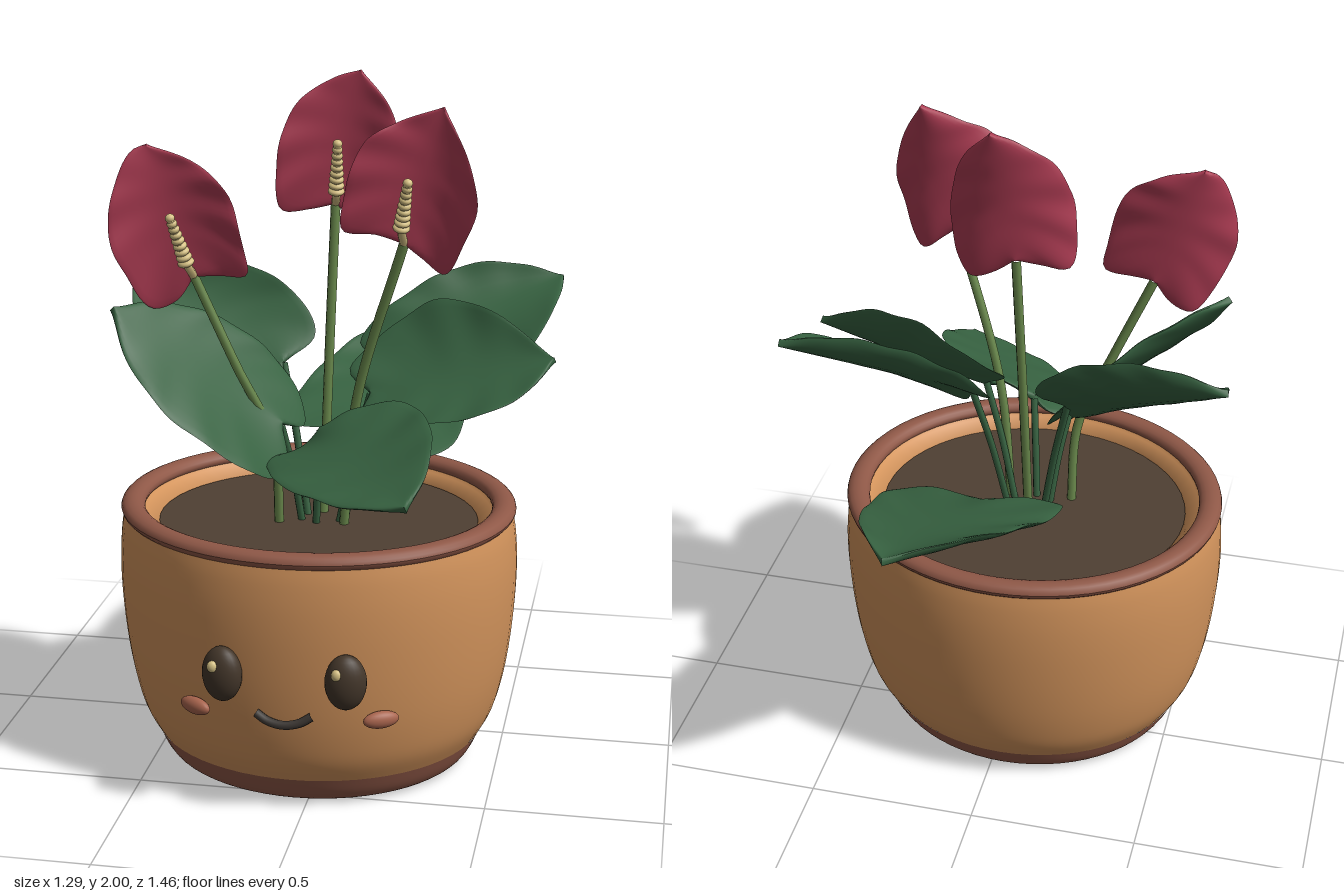
import * as THREE from 'three';

const mat = (name, color, side = THREE.FrontSide) => {
  const m = new THREE.MeshStandardMaterial({ color, side });
  m.name = name;
  return m;
};
const V = (p) => new THREE.Vector3(...p);

export function createModel() {
  const clay = mat('clay', 0xd3945c, THREE.DoubleSide);
  const trim = mat('brown trim', 0x8f5847);
  const soilMat = mat('soil', 0x4f4033);
  const dark = mat('dark eye', 0x43362a);
  const mouthMat = mat('mouth', 0x3b3632);
  const blush = mat('blush', 0xa9654e);
  const cream = mat('cream', 0xd6c184);
  const leafMat = mat('leaf green', 0x376241);
  const stemMat = mat('stem green', 0x68874b);
  const red = mat('red spathe', 0xab3b52);

  const model = new THREE.Group();
  model.name = 'pottedPlant';
  const add = (name, geo, material, parent = model) => {
    const m = new THREE.Mesh(geo, material);
    m.name = name;
    parent.add(m);
    return m;
  };

  // Slightly oval pot: every turned part shares one squashed group
  const CX = -0.04, CZ = 0.147, SQ = 0.914;
  const pot = new THREE.Group();
  pot.name = 'pot';
  pot.position.set(CX, 0, CZ);
  pot.scale.z = SQ;
  model.add(pot);
  const turn = (name, pts, material, smooth = 0) => {
    let p = pts.map(([x, y]) => new THREE.Vector2(x, y));
    if (smooth) p = new THREE.SplineCurve(p).getPoints(smooth);
    return add(name, new THREE.LatheGeometry(p, 64), material, pot);
  };
  turn('potWall', [[0.484, 0.085], [0.515, 0.14], [0.536, 0.2], [0.556, 0.29], [0.571, 0.4],
    [0.58, 0.52], [0.581, 0.62], [0.575, 0.7], [0.566, 0.75]], clay, 32);
  turn('potInside', [[0.52, 0.76], [0.505, 0.74], [0.46, 0.705], [0.45, 0.5], [0.42, 0.09], [0.12, 0.09]], clay);
  turn('potFoot', [[0.12, 0.09], [0.116, 0.06], [0.135, 0.038], [0.17, 0.042], [0.22, 0.055], [0.29, 0.04],
    [0.35, 0.012], [0.4, 0], [0.44, 0.012], [0.464, 0.04], [0.486, 0.087]], trim, 44);
  const rim = [];
  for (let i = 0; i <= 16; i++) {
    const a = (i / 16) * Math.PI * 2;
    rim.push([0.541 + 0.035 * Math.cos(a), 0.761 + 0.024 * Math.sin(a)]);
  }
  turn('potRim', rim, trim);
  const soil = add('soil', new THREE.CircleGeometry(0.466, 48), soilMat, pot);
  soil.rotation.x = -Math.PI / 2;
  soil.position.y = 0.715;

  // Face, mirrored about the middle of the pot
  const ball = new THREE.SphereGeometry(1, 24, 16);
  const blob = (name, material, x, y, z, s, yaw = 0) => {
    const m = add(name, ball, material);
    m.position.set(x, y, z);
    m.scale.set(...s);
    m.rotation.y = yaw;
  };
  for (const [side, s] of [['left', 1], ['right', -1]]) {
    blob(side + 'Eye', dark, CX + s * 0.172, 0.43, 0.665, [0.058, 0.08, 0.041], s * 0.2);
    blob(side + 'EyeGlint', cream, CX + s * 0.172 - 0.02, 0.462, 0.697, [0.015, 0.017, 0.012]);
    blob(side + 'Cheek', blush, CX + s * 0.262, 0.305, 0.616, [0.052, 0.025, 0.02], s * 0.5);
  }
  const smile = new THREE.CatmullRomCurve3(
    [[-0.118, 0.32, 0.664], [-0.085, 0.301, 0.67], [-0.04, 0.293, 0.674], [0.005, 0.301, 0.67], [0.038, 0.32, 0.664]].map(V));
  add('mouth', new THREE.TubeGeometry(smile, 24, 0.013, 8), mouthMat);

  // Heart-shaped blade: two edges run from notch to tip, with a smooth curved section between them
  const blade = (name, material, notch, tip, edgeA, edgeB, thick, wave) => {
    const n = V(notch), t = V(tip);
    const curve = (e) => new THREE.CatmullRomCurve3([n, ...e.map(V), t], false, 'centripetal');
    const A = curve(edgeA).getSpacedPoints(40), B = curve(edgeB).getSpacedPoints(40);
    const N = A[20].clone().sub(B[20]).cross(t.clone().sub(n)).normalize();
    const W = 14, pos = [], idx = [];
    for (const s of [1, -1]) {
      const base = pos.length / 3;
      for (let i = 0; i <= 40; i++) {
        const mid = n.clone().lerp(t, i / 40);
        const half = A[i].clone().sub(B[i]).multiplyScalar(0.5);
        const sag = A[i].clone().add(B[i]).multiplyScalar(0.5).sub(mid);
        for (let j = 0; j <= W; j++) {
          const v = Math.sin((j / W - 0.5) * Math.PI);
          const p = mid.clone().addScaledVector(half, v).addScaledVector(sag, v * v);
          const ripple = wave * v * v * Math.sin((i / 40) * Math.PI) * Math.sin(i * 0.75 + v);
          p.addScaledVector(N, s * thick * Math.sqrt(Math.max(0, 1 - v ** 4)) + ripple);
          pos.push(p.x, p.y, p.z);
          if (i < 40 && j < W) {
            const a = base + i * (W + 1) + j, b = a + 1, c = a + W + 1, d = c + 1;
            if (s > 0) idx.push(a, b, c, b, d, c);
            else idx.push(a, c, b, b, c, d);
          }
        }
      }
    }
    const g = new THREE.BufferGeometry();
    g.setAttribute('position', new THREE.Float32BufferAttribute(pos, 3));
    g.setIndex(idx);
    g.computeVertexNormals();
    return add(name, g, material);
  };
  const stem = (name, material, r, pts) =>
    add(name, new THREE.TubeGeometry(new THREE.CatmullRomCurve3(pts.map(V)), 24, r, 8), material);

  // Leaves: the first edge is on the right when looking from notch to tip, upper side up
  const leaf = (name, root, notch, tip, a, b) => {
    blade(name, leafMat, notch, tip, a, b, 0.011, 0.004);
    const bend = [(root[0] + notch[0]) / 2, (root[1] + notch[1]) / 2 + 0.03, (root[2] + notch[2]) / 2];
    stem(name + 'Stem', leafMat, 0.011, [root, bend, notch]);
  };
  leaf('backLeaf', [0.015, 0.68, 0.09], [0.035, 0.91, -0.15], [0.175, 1.08, -0.725],
    [[0.12, 0.86, -0.06], [0.23, 0.85, -0.03], [0.32, 0.88, -0.1], [0.343, 0.94, -0.25], [0.322, 1.02, -0.46], [0.26, 1.08, -0.61]],
    [[-0.06, 0.91, -0.105], [-0.16, 0.915, -0.11], [-0.193, 0.93, -0.15], [-0.175, 0.98, -0.3], [-0.045, 1.08, -0.555], [0.065, 1.1, -0.66]]);
  leaf('leftBackLeaf', [0.03, 0.68, 0.13], [0.13, 1.17, 0.05], [0.63, 1.385, -0.185],
    [[0.17, 1.07, 0.14], [0.26, 1.06, 0.19], [0.4, 1.12, 0.2], [0.53, 1.2, 0.14], [0.6, 1.3, 0.03], [0.63, 1.36, -0.12]],
    [[0.05, 1.2, -0.04], [0.13, 1.3, -0.09], [0.33, 1.41, -0.165], [0.5, 1.42, -0.185]]);
  leaf('leftFrontLeaf', [0.02, 0.68, 0.17], [0.12, 1.11, 0.19], [0.64, 1.24, 0.215],
    [[0.1, 1.06, 0.26], [0.17, 1.06, 0.33], [0.32, 1.085, 0.375], [0.48, 1.13, 0.385], [0.58, 1.18, 0.32]],
    [[0.05, 1.16, 0.14], [0.13, 1.25, 0.07], [0.29, 1.36, 0.06], [0.46, 1.345, 0.125]]);
  leaf('frontLeaf', [-0.04, 0.68, 0.19], [-0.01, 1.02, 0.27], [0.3, 0.955, 0.725],
    [[-0.06, 0.97, 0.28], [-0.148, 0.945, 0.34], [-0.13, 0.94, 0.42], [-0.07, 0.935, 0.53], [0.11, 0.935, 0.672], [0.21, 0.945, 0.712]],
    [[0.08, 1.08, 0.25], [0.23, 1.115, 0.28], [0.33, 1.09, 0.46], [0.335, 1.01, 0.63]]);
  leaf('rightFrontLeaf', [-0.08, 0.68, 0.17], [-0.13, 1.02, 0.24], [-0.575, 1.375, 0.385],
    [[-0.075, 1.0, 0.165], [-0.14, 1.12, 0.075], [-0.29, 1.28, 0.13], [-0.47, 1.37, 0.26]],
    [[-0.1, 0.93, 0.3], [-0.125, 0.91, 0.4], [-0.22, 0.99, 0.5], [-0.4, 1.13, 0.525], [-0.52, 1.26, 0.46]]);
  leaf('rightBackLeaf', [-0.07, 0.68, 0.13], [-0.16, 1.15, 0.05], [-0.645, 1.36, -0.115],
    [[-0.08, 1.22, -0.02], [-0.14, 1.32, -0.07], [-0.29, 1.4, -0.105], [-0.48, 1.415, -0.125]],
    [[-0.16, 1.06, 0.13], [-0.23, 1.05, 0.2], [-0.35, 1.1, 0.22], [-0.52, 1.2, 0.145], [-0.61, 1.28, 0.04], [-0.64, 1.34, -0.06]]);

  // Flowers: cupped spathe, ringed spadix and a long stem
  const flower = (name, path, notch, tip, a, b, from, to) => {
    blade(name + 'Spathe', red, notch, tip, a, b, 0.01, 0.005);
    stem(name + 'Stem', stemMat, 0.014, [...path, notch]);
    const p0 = V(from), p1 = V(to), dir = p1.clone().sub(p0).normalize();
    stem(name + 'SpadixBase', cream, 0.012, [notch, from, to]);
    for (let i = 0; i < 9; i++) {
      const bead = add(name + 'SpadixRing', ball, cream);
      const r = 0.024 - 0.0013 * i;
      bead.position.lerpVectors(p0, p1, i / 8);
      bead.scale.set(r, 0.012, r);
      bead.quaternion.setFromUnitVectors(new THREE.Vector3(0, 1, 0), dir);
    }
  };
  flower('middleFlower', [[-0.035, 0.68, 0.1], [-0.025, 1.15, 0.06]], [-0.01, 1.62, 0.03], [0.06, 2, 0.02],
    [[0.05, 1.575, 0.035], [0.125, 1.55, 0.035], [0.165, 1.6, 0.06], [0.19, 1.67, 0.085], [0.188, 1.79, 0.09], [0.145, 1.91, 0.055]],
    [[-0.08, 1.605, 0.04], [-0.16, 1.6, 0.055], [-0.175, 1.66, 0.07], [-0.157, 1.82, 0.075], [-0.11, 1.915, 0.05], [-0.01, 1.98, 0.025]],
    [0, 1.665, 0.075], [0.01, 1.805, 0.11]);
  flower('leftFlower', [[0.04, 0.68, 0.19], [0.085, 1.1, 0.22]], [0.225, 1.565, 0.285], [0.33, 1.94, 0.285],
    [[0.27, 1.53, 0.285], [0.338, 1.485, 0.29], [0.39, 1.57, 0.33], [0.433, 1.69, 0.365], [0.4, 1.82, 0.345]],
    [[0.15, 1.59, 0.295], [0.062, 1.6, 0.31], [0.06, 1.67, 0.325], [0.12, 1.845, 0.33], [0.21, 1.9, 0.3]],
    [0.225, 1.62, 0.335], [0.248, 1.75, 0.382]);
  flower('rightFlower', [[-0.145, 0.68, 0.2], [-0.155, 0.97, 0.24], [-0.25, 1.2, 0.28]], [-0.36, 1.455, 0.3], [-0.49, 1.82, 0.3],
    [[-0.29, 1.46, 0.305], [-0.207, 1.468, 0.315], [-0.212, 1.54, 0.33], [-0.257, 1.7, 0.335], [-0.36, 1.78, 0.31]],
    [[-0.41, 1.385, 0.305], [-0.478, 1.362, 0.315], [-0.545, 1.46, 0.345], [-0.587, 1.58, 0.36], [-0.56, 1.74, 0.34], [-0.525, 1.805, 0.315]],
    [-0.37, 1.505, 0.35], [-0.402, 1.635, 0.39]);

  return model;
}
